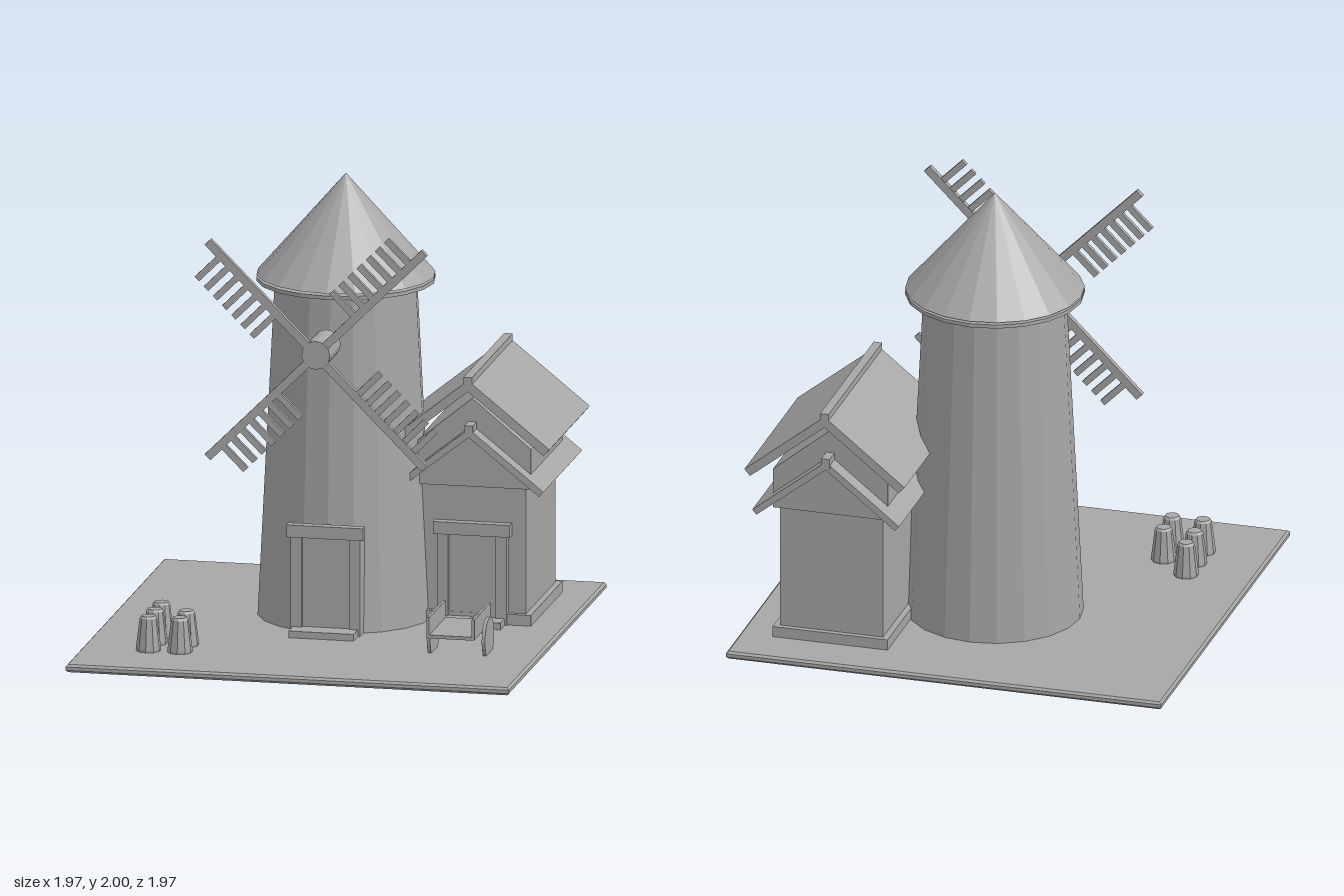
import * as THREE from 'three';

export function createModel() {
  const model = new THREE.Group();
  model.name = 'windmillFarm';
  const stone = new THREE.MeshStandardMaterial({ color: 0xa6a6a6, flatShading: true });
  stone.name = 'plain grey';

  const add = (name, geo, parent = model) => {
    const mesh = new THREE.Mesh(geo, stone);
    mesh.name = name;
    parent.add(mesh);
    return mesh;
  };
  const group = (name, parent = model) => {
    const g = new THREE.Group();
    g.name = name;
    parent.add(g);
    return g;
  };
  // box from its minimum and maximum on each axis
  const box = (name, x0, x1, y0, y1, z0, z1, parent) => {
    const mesh = add(name, new THREE.BoxGeometry(x1 - x0, y1 - y0, z1 - z0), parent);
    mesh.position.set((x0 + x1) / 2, (y0 + y1) / 2, (z0 + z1) / 2);
    return mesh;
  };
  // outline in x and y, drawn out from z0 to z1
  const prism = (name, points, z0, z1, parent) => {
    const shape = new THREE.Shape(points.map(([x, y]) => new THREE.Vector2(x, y)));
    const mesh = add(name, new THREE.ExtrudeGeometry(shape, { depth: z1 - z0, bevelEnabled: false }), parent);
    mesh.position.z = z0;
    return mesh;
  };

  // ground slab with a small bevel
  const b = 0.01, s = 0.975;
  const slab = new THREE.Shape([[-s, -s], [s, -s], [s, s], [-s, s]].map(p => new THREE.Vector2(...p)));
  const ground = add('ground', new THREE.ExtrudeGeometry(slab, {
    depth: 0.035 - 2 * b, bevelThickness: b, bevelSize: b, bevelSegments: 1 }));
  ground.rotation.x = -Math.PI / 2;
  ground.position.y = b;

  // tower with its rim and the cap floating just above it
  const tower = group('tower');
  tower.position.z = -0.2;
  add('towerWall', new THREE.CylinderGeometry(0.31, 0.385, 1.5, 20), tower).position.y = 0.785;
  add('capRim', new THREE.CylinderGeometry(0.39, 0.39, 0.017, 20), tower).position.y = 1.534;
  add('cap', new THREE.ConeGeometry(0.39, 0.447, 20), tower).position.y = 1.7765;

  // hub and four sails
  const sails = group('sails');
  sails.position.set(0, 1.33, 0);
  const hub = add('hub', new THREE.CylinderGeometry(0.063, 0.063, 0.22, 16), sails);
  hub.rotation.x = Math.PI / 2;
  hub.position.z = 0.3;
  for (let i = 0; i < 4; i++) {
    const sail = group('sail', sails);
    sail.rotation.z = Math.PI / 4 + i * Math.PI / 2;
    box('sailArm', 0.03, 0.68, -0.018, 0.018, 0.383, 0.408, sail);
    for (let k = 0; k < 7; k++) {
      const x = 0.25 + k * 0.0575;
      box('sailSlat', x - 0.014, x + 0.014, 0.01, 0.153, 0.386, 0.405, sail);
    }
  }

  // doorway standing on the ground, its front plane at local z = 0
  const doorway = (name, x, z, top, depth) => {
    const g = group(name);
    g.position.set(x, 0, z);
    box('doorLintel', -0.17, 0.17, top - 0.055, top, -0.043, 0, g);
    for (const side of [-1, 1]) {
      const c = side * 0.13;
      box('doorPost', c - 0.025, c + 0.025, 0.03, top - 0.055, -depth, -0.008, g);
    }
    box('doorPanel', -0.105, 0.105, 0.03, top - 0.055, -depth, -0.022, g);
    box('doorStep', -0.145, 0.145, 0.03, 0.065, -depth, 0.075, g);
  };
  doorway('towerDoor', 0, 0.225, 0.52, 0.1);
  doorway('hutDoor', 0.577, -0.11, 0.485, 0.06);

  // hut with gabled loft and two stacked roofs
  const hut = group('hut');
  hut.position.x = 0.577;
  box('hutPlinth', -0.26, 0.26, 0.03, 0.083, -0.77, -0.13, hut);
  box('hutWalls', -0.233, 0.233, 0.08, 0.65, -0.745, -0.155, hut);
  prism('hutLoft', [[-0.26, 0.645], [0.26, 0.645], [0.26, 0.825], [0, 1.04], [-0.26, 0.825]], -0.765, -0.13, hut);

  const roof = (name, ridge, inner, eave, z0, z1) => {
    const g = group(name, hut);
    const [outer, under] = eave;
    for (const side of [-1, 1]) {
      const pts = [[0, inner], under, outer, [0, ridge]].map(([x, y]) => [x * side, y]);
      prism('roofSlope', pts, z0, z1, g);
    }
    box('ridgeBeam', -0.019, 0.019, ridge - 0.03, ridge + 0.015, z0 - 0.002, z1 + 0.002, g);
  };
  roof('upperRoof', 1.14, 1.09, [[0.362, 0.85], [0.337, 0.82]], -0.855, -0.04);
  roof('lowerRoof', 0.92, 0.882, [[0.332, 0.655], [0.313, 0.633]], -0.838, -0.055);

  // hand cart
  const cart = group('cart');
  cart.position.x = 0.635;
  box('cartFloor', -0.105, 0.105, 0.135, 0.15, 0.245, 0.575, cart);
  for (const side of [-1, 1]) {
    const c = side * 0.1;
    box('cartSide', c - 0.006, c + 0.006, 0.135, 0.227, 0.245, 0.575, cart);
    const wheel = add('cartWheel', new THREE.CylinderGeometry(0.092, 0.092, 0.015, 20), cart);
    wheel.rotation.z = Math.PI / 2;
    wheel.position.set(side * 0.122, 0.1, 0.373);
  }
  const axle = add('cartAxle', new THREE.CylinderGeometry(0.007, 0.007, 0.24, 8), cart);
  axle.rotation.z = Math.PI / 2;
  axle.position.set(0, 0.125, 0.373);
  const handle = box('cartHandle', -0.006, 0.006, 0.115, 0.127, 0, 0.25, cart);
  handle.rotation.x = -0.12;

  // grain sacks
  const sackProfile = [[0, 0.03], [0.053, 0.03], [0.055, 0.045], [0.038, 0.18], [0.031, 0.19], [0, 0.19]]
    .map(p => new THREE.Vector2(...p));
  for (const [x, z] of [[-0.69, 0.39], [-0.69, 0.52], [-0.55, 0.52], [-0.69, 0.65], [-0.55, 0.65]]) {
    add('sack', new THREE.LatheGeometry(sackProfile, 10)).position.set(x, 0, z);
  }
  return model;
}
